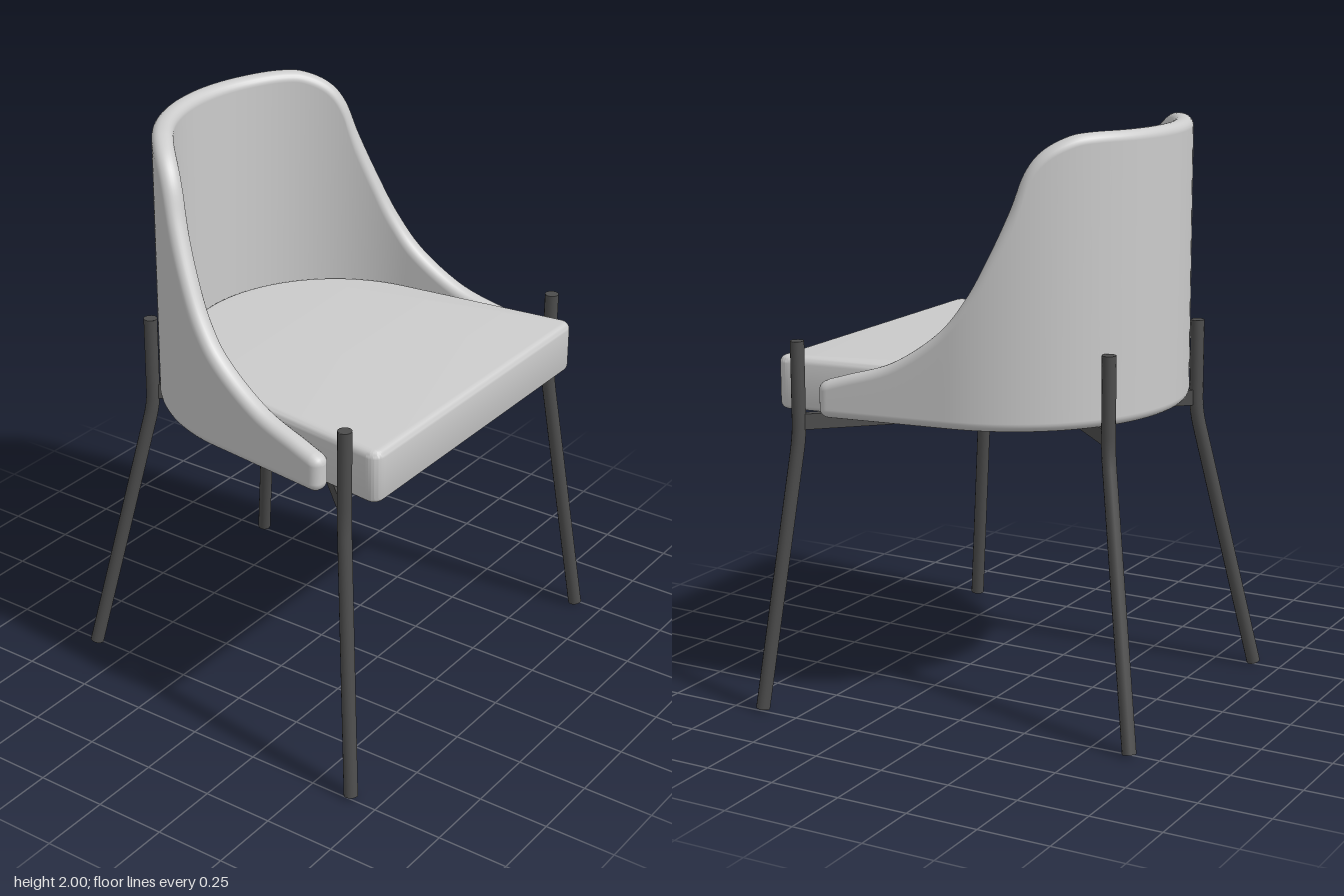
import * as THREE from 'three';
import { mergeGeometries, toCreasedNormals } from 'three/addons/utils/BufferGeometryUtils.js';

const fabric = new THREE.MeshStandardMaterial({ color: 0xcccccc });
const metal = new THREE.MeshStandardMaterial({ color: 0x4d4d4d });

// Plan of the wrap-around back: an arc, then straight flared sides
const ARC_Z = 0.06, FLARE = 0.127, ARC_ANGLE = Math.PI / 2 - FLARE;

function add(group, name, geometry, material) {
  const mesh = new THREE.Mesh(geometry, material);
  mesh.name = name;
  group.add(mesh);
  return mesh;
}

// Seat cushion: rounded-back outline extruded upward with soft edges
function seatGeometry() {
  const bevel = 0.025, r = 0.532 - bevel, front = 0.647 - bevel, c = 0.02;
  const tx = r * Math.cos(FLARE), tz = ARC_Z - r * Math.sin(FLARE);
  const fx = tx + (front - tz) * Math.tan(FLARE);
  const shape = new THREE.Shape();
  // shape y is -z
  shape.moveTo(-fx + c, -front);
  shape.lineTo(fx - c, -front);
  shape.quadraticCurveTo(fx, -front, fx - 0.003, -front + c);
  shape.lineTo(tx, -tz);
  shape.absarc(0, -ARC_Z, r, FLARE, Math.PI - FLARE, false);
  shape.lineTo(-fx + 0.003, -front + c);
  shape.quadraticCurveTo(-fx, -front, -fx + c, -front);
  const geo = new THREE.ExtrudeGeometry(shape, {
    depth: 0.185 - 2 * bevel, bevelEnabled: true, bevelSize: bevel,
    bevelThickness: bevel, bevelSegments: 5, curveSegments: 48,
  });
  geo.rotateX(-Math.PI / 2);
  geo.translate(0, 1.035 + bevel, 0);
  return toCreasedNormals(geo, 0.7);
}

// Point and outward normal of the back's outer face at distance s from the middle
function backPlan(s) {
  const R = 0.605, side = Math.sign(s) || 1, d = Math.abs(s);
  const a = Math.min(d / R, ARC_ANGLE), rest = d - a * R;
  const nx = Math.sin(a), nz = -Math.cos(a);
  return {
    x: side * (R * nx - rest * nz), z: ARC_Z + R * nz + rest * nx,
    nx: side * nx, nz,
  };
}

// Back shell: rounded sections swept along the plan, with a falling top edge
function backGeometry() {
  const T = 0.072, r = 0.032, bottom = 1.035, end = 1.343, steps = 6;
  const top = new THREE.SplineCurve([
    [0, 2], [0.2, 2], [0.37, 2], [0.46, 1.988], [0.552, 1.945], [0.613, 1.875],
    [0.662, 1.756], [0.733, 1.61], [0.815, 1.466], [0.92, 1.344], [1.08, 1.238],
    [1.245, 1.185], [end - r, 1.165],
  ].map(p => new THREE.Vector2(...p)));

  // Stations of one half: distance, top height, edge steepness and end inset
  const half = [];
  for (let i = 0; i <= 72; i++) {
    const p = top.getPoint(i / 72), t = top.getTangent(i / 72);
    half.push({ s: p.x, h: p.y, k: Math.min(1 / Math.max(t.x, 0.01), 2.5), inset: 0 });
  }
  for (let i = 1; i <= steps; i++) {
    const a = (i / steps) * Math.PI / 2;
    half.push({ s: end - r + r * Math.sin(a), h: 1.162, k: 1, inset: r * (1 - Math.cos(a)) });
  }
  const stations = [...half.slice(1).reverse().map(q => ({ ...q, s: -q.s })), ...half];

  const pos = [], index = [], n = 4 * (steps + 1);
  for (const { s, h, k, inset } of stations) {
    const p = backPlan(s);
    for (let corner = 0; corner < 4; corner++) {
      const outer = corner === 0 || corner === 3, upper = corner === 1 || corner === 0;
      for (let j = 0; j <= steps; j++) {
        const a = (corner + j / steps) * Math.PI / 2, rr = r - inset;
        const o = (outer ? -r : -T + r) + rr * Math.cos(a);
        const y = (upper ? h - r * k : bottom + r) + rr * (upper ? k : 1) * Math.sin(a);
        pos.push(p.x + p.nx * o, y, p.z + p.nz * o);
      }
    }
  }
  const last = (stations.length - 1) * n;
  for (let i = 0; i < last; i += n) {
    for (let j = 0; j < n; j++) {
      const a = i + j, b = i + (j + 1) % n;
      index.push(a, b, a + n, b, b + n, a + n);
    }
  }
  for (let j = 1; j < n - 1; j++) {
    index.push(0, j + 1, j, last, last + j, last + j + 1);
  }
  const geo = new THREE.BufferGeometry();
  geo.setAttribute('position', new THREE.Float32BufferAttribute(pos, 3));
  geo.setIndex(index);
  geo.computeVertexNormals();
  return geo;
}

// Leg: upright tube that bends outward below the seat, closed at both ends
function legGeometry(x, z, footX, footZ) {
  const radius = 0.024;
  const head = new THREE.Vector3(x, 1.285, z), bend = new THREE.Vector3(x, 0.96, z);
  const foot = new THREE.Vector3(footX, 0.005, footZ);
  const bendStart = bend.clone().setY(1.01), bendEnd = bend.clone().lerp(foot, 0.055);
  const path = new THREE.CurvePath();
  path.add(new THREE.LineCurve3(head, bendStart));
  path.add(new THREE.QuadraticBezierCurve3(bendStart, bend, bendEnd));
  path.add(new THREE.LineCurve3(bendEnd, foot));
  const cap = (at, dir) => {
    const q = new THREE.Quaternion().setFromUnitVectors(new THREE.Vector3(0, 0, 1), dir);
    return new THREE.CircleGeometry(radius, 14).applyQuaternion(q).translate(at.x, at.y, at.z);
  };
  return mergeGeometries([
    new THREE.TubeGeometry(path, 48, radius, 14, false),
    cap(head, new THREE.Vector3(0, 1, 0)),
    cap(foot, foot.clone().sub(bendEnd).normalize()),
  ]);
}

export function createModel() {
  const chair = new THREE.Group();
  chair.name = 'chair';
  add(chair, 'seatCushion', seatGeometry(), fabric);
  add(chair, 'backShell', backGeometry(), fabric);

  const front = { x: 0.632, z: 0.54 }, back = { x: 0.342, z: -0.476 };
  for (const side of [1, -1]) {
    const label = side > 0 ? 'Left' : 'Right';
    add(chair, 'front' + label + 'Leg',
      legGeometry(side * front.x, front.z, side * 0.737, 0.645), metal);
    add(chair, 'back' + label + 'Leg',
      legGeometry(side * back.x, back.z, side * 0.51, -0.645), metal);

    // Diagonal bar under the seat, from a front leg to the opposite back leg
    const dx = side * (front.x + back.x), dz = front.z - back.z;
    const bar = add(chair, 'crossBar' + label,
      new THREE.BoxGeometry(0.03, 0.054, Math.hypot(dx, dz)), metal);
    bar.position.set(side * (front.x - back.x) / 2, 1.009, (front.z + back.z) / 2);
    bar.rotation.y = Math.atan2(dx, dz);
  }
  return chair;
}
